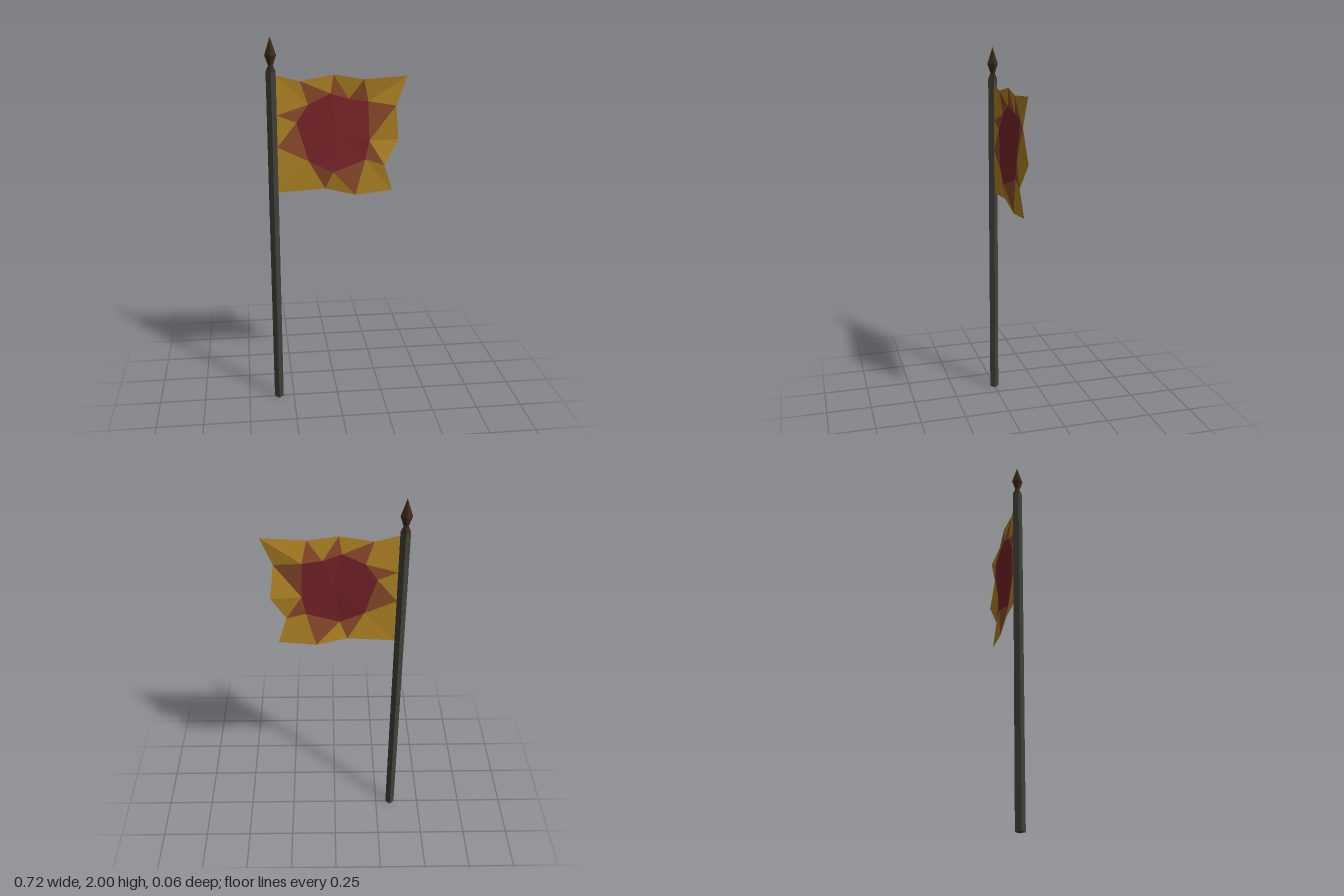
import * as THREE from 'three';

const POLE_X = -0.334;

function material(color, side = THREE.FrontSide) {
  return new THREE.MeshStandardMaterial({ color, flatShading: true, side });
}

function addMesh(group, name, geometry, mat) {
  const mesh = new THREE.Mesh(geometry, mat);
  mesh.name = name;
  group.add(mesh);
  return mesh;
}

// Flat-faced geometry from a list of triangles, each of three [x, y, z] corners
function facets(triangles) {
  const geometry = new THREE.BufferGeometry();
  geometry.setAttribute('position', new THREE.Float32BufferAttribute(triangles.flat(2), 3));
  geometry.computeVertexNormals();
  return geometry;
}

function createFlag() {
  const flag = new THREE.Group();
  flag.name = 'flag';

  // Ragged hem, clockwise from the upper pole corner
  const hem = [
    [-0.31, 1.81, 0], [-0.19, 1.78, 0], [-0.02, 1.81, -0.003], [0.135, 1.785, 0.005],
    [0.357, 1.8, 0.003], [0.3, 1.65, 0.012], [0.32, 1.47, -0.012], [0.245, 1.34, 0.011],
    [0.29, 1.2, 0], [0.095, 1.18, 0], [-0.065, 1.22, 0], [-0.31, 1.205, 0],
    [-0.31, 1.445, 0], [-0.31, 1.61, 0],
  ];
  // Rim of the red centre, clockwise from its upper left
  const rim = [
    [-0.15, 1.66, -0.008], [-0.035, 1.715, -0.005], [0.06, 1.685, -0.015],
    [0.16, 1.67, -0.015], [0.165, 1.47, 0.003], [0.145, 1.37, 0.005],
    [-0.025, 1.31, 0.02], [-0.15, 1.37, 0.007], [-0.21, 1.57, -0.003],
  ];
  // Hem point that each rim edge reaches out to
  const apex = [1, 2, 3, 5, 7, 9, 10, 12, 13];
  const middle = [0, 1.51, 0.003];

  const centre = [], points = [], border = [];
  rim.forEach((a, i) => {
    const next = (i + 1) % rim.length;
    const b = rim[next];
    centre.push([middle, b, a]);
    points.push([a, b, hem[apex[i]]]);
    // Hem edges between this apex and the next fan out from the shared rim corner
    for (let k = apex[i]; k !== apex[next]; k = (k + 1) % hem.length) {
      border.push([b, hem[(k + 1) % hem.length], hem[k]]);
    }
  });

  addMesh(flag, 'flagCentre', facets(centre), material(0x782428, THREE.DoubleSide));
  addMesh(flag, 'flagPoints', facets(points), material(0x8c4c2c, THREE.DoubleSide));
  addMesh(flag, 'flagBorder', facets(border), material(0xb08424, THREE.DoubleSide));
  return flag;
}

export function createModel() {
  const model = new THREE.Group();
  model.name = 'flagOnPole';

  // Square pole with its corners on the axes
  const pole = addMesh(model, 'pole',
    new THREE.CylinderGeometry(0.025, 0.025, 1.83, 4), material(0x40403a));
  pole.position.set(POLE_X, 0.915, 0);

  // Spearhead with a narrow neck
  const profile = [[0.025, 1.83], [0.012, 1.86], [0.029, 1.91], [0, 2]]
    .map(([r, y]) => new THREE.Vector2(r, y));
  const finial = addMesh(model, 'spearhead', new THREE.LatheGeometry(profile, 4), material(0x3c2a1c));
  finial.position.x = POLE_X;

  model.add(createFlag());
  return model;
}
